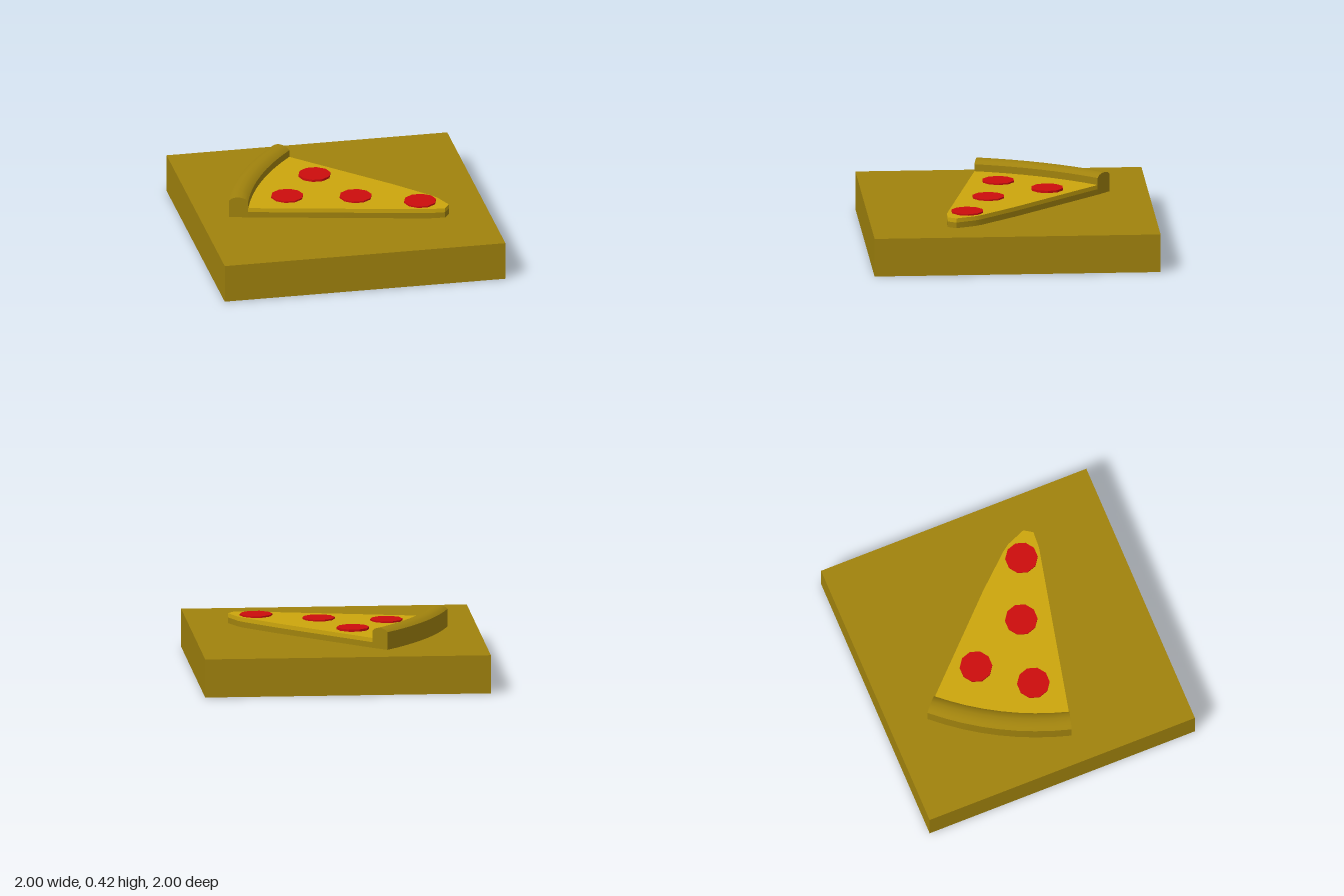
import * as THREE from 'three';
import { toCreasedNormals } from 'three/addons/utils/BufferGeometryUtils.js';

const BOARD_TOP = 0.27, CHEESE_BOTTOM = 0.31, CHEESE_TOP = 0.34;

// Shallow bowed edge between two (x, z) points, t from back to front
const bowed = (a, b, sag) => (t) => {
  const p = a.clone().lerp(b, t);
  return p.addScaledVector(new THREE.Vector2(-0.873, -0.488), sag * 4 * t * (1 - t));
};
const outerEdge = bowed(new THREE.Vector2(-0.30, -0.73), new THREE.Vector2(-0.795, 0.155), 0.06);
const innerEdge = bowed(new THREE.Vector2(-0.20, -0.64), new THREE.Vector2(-0.665, 0.19), 0.055);

function addMesh(group, name, geometry, color) {
  const material = new THREE.MeshStandardMaterial({ color });
  const mesh = new THREE.Mesh(geometry, material);
  mesh.name = name;
  group.add(mesh);
  return mesh;
}

// Horizontal slab with the outline of the slice
function sliceLayer(bottom, top) {
  const points = [];
  for (let i = 0; i <= 8; i++) points.push(innerEdge(i / 8));
  const tip = [[0.56, 0.463], [0.68, 0.47], [0.72, 0.41], [0.665, 0.275], [0.63, 0.225], [0.41, -0.02]];
  tip.forEach(([x, z]) => points.push(new THREE.Vector2(x, z)));
  const shape = new THREE.Shape(points.map((p) => new THREE.Vector2(p.x, -p.y)));
  const geometry = new THREE.ExtrudeGeometry(shape, { depth: top - bottom, bevelEnabled: false });
  geometry.rotateX(-Math.PI / 2).translate(0, bottom, 0);
  return toCreasedNormals(geometry, 0.5);
}

// Rounded profile swept along the bowed back edge
function crustGeometry() {
  const profile = [[0, BOARD_TOP], [1, BOARD_TOP], [1, 0.39], [0.85, 0.408], [0.6, 0.418],
    [0.35, 0.418], [0.15, 0.41], [0, 0.395]];
  const shape = new THREE.Shape(profile.map(([u, y]) => new THREE.Vector2(u, y)));
  const geometry = new THREE.ExtrudeGeometry(shape, { depth: 1, steps: 8, bevelEnabled: false });
  const pos = geometry.attributes.position;
  for (let i = 0; i < pos.count; i++) {
    const t = pos.getZ(i);
    const p = outerEdge(t).lerp(innerEdge(t), pos.getX(i));
    pos.setX(i, p.x);
    pos.setZ(i, p.y);
  }
  return toCreasedNormals(geometry, 0.6);
}

export function createModel() {
  const model = new THREE.Group();
  model.name = 'pizzaSliceOnBoard';

  // Board
  const board = addMesh(model, 'board', new THREE.BoxGeometry(2, BOARD_TOP, 2), 0xa0820d);
  board.position.y = BOARD_TOP / 2;

  // Slice: dough, cheese and raised crust
  const slice = new THREE.Group();
  slice.name = 'slice';
  model.add(slice);
  addMesh(slice, 'dough', sliceLayer(BOARD_TOP, CHEESE_BOTTOM), 0xa0820d);
  addMesh(slice, 'cheese', sliceLayer(CHEESE_BOTTOM, CHEESE_TOP), 0xcca60d);
  addMesh(slice, 'crust', crustGeometry(), 0xa0820d);

  // Pepperoni, ten-sided discs
  const disc = toCreasedNormals(
    new THREE.CylinderGeometry(0.114, 0.114, 0.024, 10, 1, false, Math.PI / 2), 0.5);
  const spots = [[-0.095, -0.28, 0.356], [-0.357, 0.045, 0.351], [0.11, 0.145, 0.351], [0.533, 0.32, 0.351]];
  spots.forEach(([x, z, top], i) => {
    addMesh(slice, `pepperoni${i + 1}`, disc, 0xcc0d0d).position.set(x, top - 0.012, z);
  });

  return model;
}
